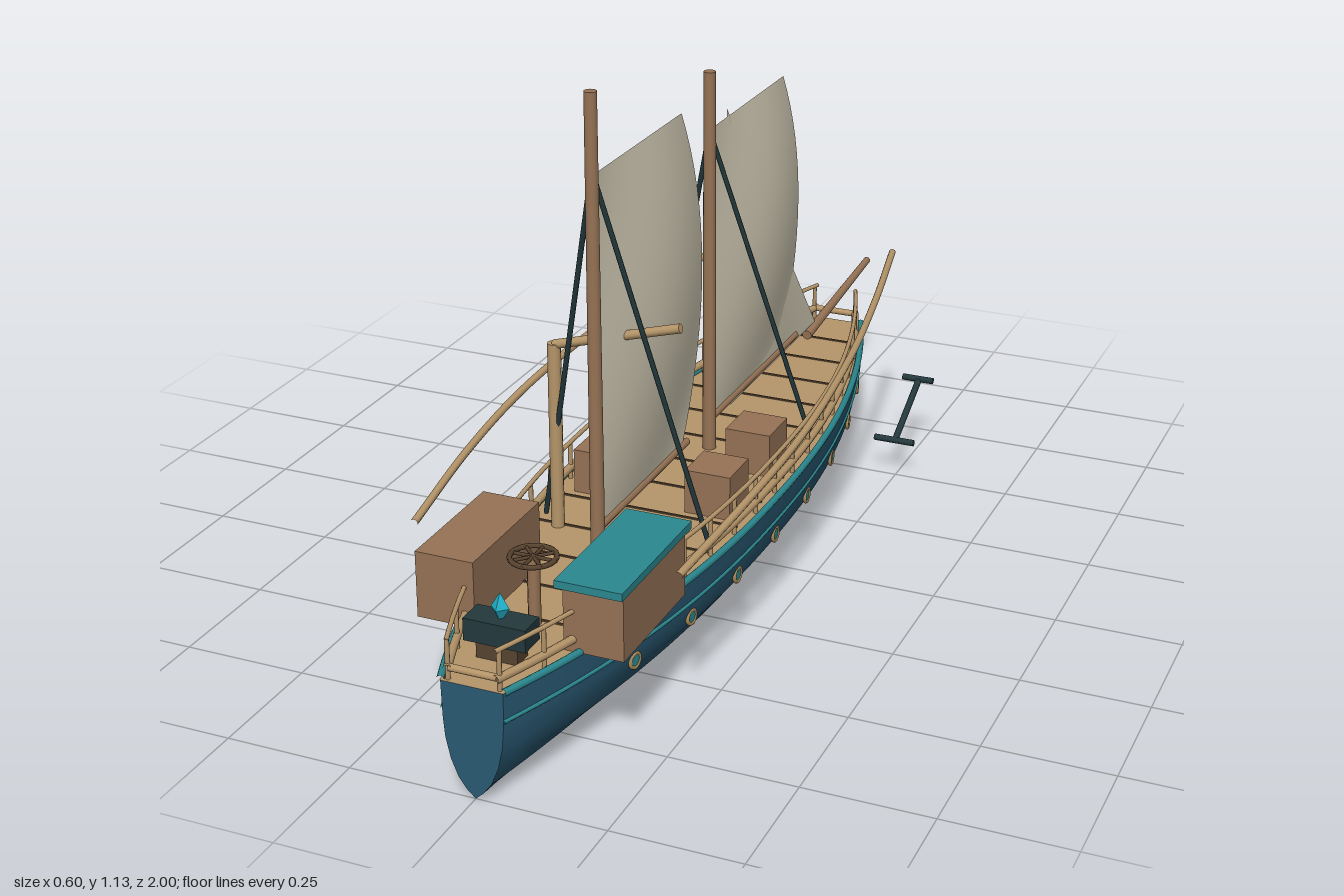
import * as THREE from 'three';

const mat = (name, color, double) => {
  const m = new THREE.MeshStandardMaterial({ color });
  m.name = name;
  if (double) m.side = THREE.DoubleSide;
  return m;
};
const V = (x, y, z) => new THREE.Vector3(x, y, z);

// Half width of the hull at deck level
const MID = 0.105, HALF = 0.895, DECK = 0.222;
const halfWidth = (z) => 0.06 + 0.153 * (1 - Math.pow(Math.min(1, Math.abs((z - MID) / HALF)), 2.25));
// Half section: share of the half width, height
const SECTION = [[1, 0.222], [0.985, 0.19], [0.965, 0.15], [0.91, 0.112], [0.76, 0.072], [0.53, 0.038], [0.26, 0.016], [0, 0.002]];
const PROFILE = [...SECTION, ...SECTION.slice(0, -1).reverse().map(([x, y]) => [-x, y])];

export function createModel() {
  const hullBlue = mat('hullBlue', 0x2a5a74);
  const teal = mat('teal', 0x2b8890);
  const tan = mat('tanWood', 0xb6966a);
  const brown = mat('brownWood', 0x967355);
  const darkWood = mat('darkWood', 0x57432f);
  const canvas = mat('canvas', 0xd6cfb8, true);
  const iron = mat('darkIron', 0x24393d);
  const cyan = mat('cyanCrystal', 0x22b0c8);
  const brass = mat('brass', 0xa98a58);

  const root = new THREE.Group();
  root.name = 'sailingShip';
  const add = (name, geo, material, x = 0, y = 0, z = 0) => {
    const m = new THREE.Mesh(geo, material);
    m.name = name;
    m.position.set(x, y, z);
    root.add(m);
    return m;
  };
  const box = (name, material, x0, x1, y0, y1, z0, z1) =>
    add(name, new THREE.BoxGeometry(x1 - x0, y1 - y0, z1 - z0), material, (x0 + x1) / 2, (y0 + y1) / 2, (z0 + z1) / 2);
  const rod = (name, material, a, b, r, r2 = r, sides = 10) => {
    const m = add(name, new THREE.CylinderGeometry(r2, r, a.distanceTo(b), sides), material);
    m.position.copy(a).lerp(b, 0.5);
    m.quaternion.setFromUnitVectors(V(0, 1, 0), b.clone().sub(a).normalize());
    return m;
  };
  const tube = (name, material, pts, r, n = 48) =>
    add(name, new THREE.TubeGeometry(new THREE.CatmullRomCurve3(pts), n, r, 8), material);
  const zAt = (t) => MID - HALF + 2 * HALF * t;

  // Hull skin lofted along z
  const N = 40, P = PROFILE.length, pos = [], idx = [];
  for (let i = 0; i <= N; i++) {
    const z = zAt(i / N), w = halfWidth(z);
    for (const [x, y] of PROFILE) pos.push(x * w, y, z);
  }
  for (let i = 0; i < N; i++) for (let j = 0; j < P - 1; j++) {
    const a = i * P + j, b = a + P;
    idx.push(a, b, a + 1, b, b + 1, a + 1);
  }
  const skin = new THREE.BufferGeometry();
  skin.setAttribute('position', new THREE.Float32BufferAttribute(pos, 3));
  skin.setIndex(idx);
  skin.computeVertexNormals();
  add('hull', skin, hullBlue);

  // Flat hull ends
  const endShape = new THREE.Shape(PROFILE.map(([x, y]) => new THREE.Vector2(x * 0.06, y)));
  add('hullEndFront', new THREE.ShapeGeometry(endShape), hullBlue, 0, 0, MID + HALF);
  add('hullEndBack', new THREE.ShapeGeometry(endShape), hullBlue, 0, 0, MID - HALF).rotation.y = Math.PI;

  // Deck and plank seams
  const edge = [];
  for (let i = 0; i <= N; i++) edge.push(new THREE.Vector2(halfWidth(zAt(i / N)), -zAt(i / N)));
  for (let i = N; i >= 0; i--) edge.push(new THREE.Vector2(-halfWidth(zAt(i / N)), -zAt(i / N)));
  add('deck', new THREE.ShapeGeometry(new THREE.Shape(edge)), tan, 0, DECK, 0).rotation.x = -Math.PI / 2;
  for (let i = 0; i < 13; i++) {
    const z = -0.668 + i * 0.118, w = halfWidth(z) - 0.02;
    box('deckSeam', darkWood, -w, w, DECK, DECK + 0.003, z - 0.002, z + 0.002);
  }

  for (const s of [1, -1]) {
    // Line that follows the side of the hull
    const along = (y, offset, k = 1) => {
      const pts = [];
      for (let i = 0; i <= 24; i++) {
        const z = zAt(i / 24);
        pts.push(V(s * (halfWidth(z) * k + offset), y, z));
      }
      return pts;
    };
    tube('gunwale', teal, along(0.224, 0), 0.007);
    tube('sideStrip', teal, along(0.167, 0, 0.973), 0.004);
    tube('lowerRail', tan, along(0.246, -0.014), 0.008);
    tube('upperRail', tan, along(0.3, -0.014), 0.0045);
    for (let i = 0; i <= 18; i++) {
      const z = zAt(0.005 + 0.99 * i / 18), x = s * (halfWidth(z) - 0.014);
      rod('railPost', tan, V(x, DECK, z), V(x, 0.3, z), 0.0045, 0.0045, 6);
    }

    // Portholes
    for (let i = 0; i < 8; i++) {
      const z = 0.668 - i * 0.187, x = s * (halfWidth(z) * 0.94 + 0.002);
      const turn = Math.PI / 2 * s - s * Math.atan((halfWidth(z - 0.02) - halfWidth(z + 0.02)) / 0.04);
      add('portholeRing', new THREE.TorusGeometry(0.014, 0.004, 8, 20), brass, x, 0.132, z).rotation.y = turn;
      add('portholeGlass', new THREE.CircleGeometry(0.013, 20), teal, x + s * 0.002, 0.132, z).rotation.y = turn;
    }

    // Long curved side pole
    tube('sidePole', tan, [V(s * 0.26, 0.35, 0.72), V(s * 0.284, 0.382, 0.46), V(s * 0.292, 0.405, 0.2),
      V(s * 0.268, 0.427, -0.12), V(s * 0.225, 0.443, -0.4), V(s * 0.173, 0.456, -0.665)], 0.0075);

    // Anchor
    rod('anchorShaft', iron, V(s * 0.245, 0.165, -0.665), V(s * 0.245, 0.082, -0.505), 0.007);
    rod('anchorStock', iron, V(s * 0.208, 0.165, -0.662), V(s * 0.278, 0.165, -0.662), 0.007);
    rod('anchorFluke', iron, V(s * 0.198, 0.082, -0.505), V(s * 0.288, 0.082, -0.505), 0.007);

    // Shrouds
    rod('mainShroud', iron, V(0, 0.985, 0.497), V(s * 0.17, 0.228, 0.37), 0.005, 0.005, 6);
    rod('foreShroud', iron, V(0, 0.9, -0.037), V(s * 0.17, 0.228, -0.165), 0.005, 0.005, 6);

    // Hatches
    for (const z of [0, 0.207]) {
      const a = s * 0.118;
      box('hatch', brown, a - 0.047, a + 0.047, DECK, 0.312, z - 0.048, z + 0.048);
    }
  }
  // Rails across both ends
  for (const z of [0.992, -0.783]) rod('endRail', tan, V(-0.046, 0.246, z), V(0.046, 0.246, z), 0.007);

  // Masts, booms and bowsprit
  rod('mainMast', brown, V(0, DECK, 0.497), V(0, 1.13, 0.497), 0.014, 0.012, 14);
  rod('foreMast', brown, V(0, DECK, -0.037), V(0, 1.02, -0.037), 0.014, 0.012, 14);
  rod('mainBoom', brown, V(0, 0.285, 0.497), V(0, 0.285, 0.08), 0.008);
  rod('foreBoom', brown, V(0, 0.285, -0.037), V(0, 0.285, -0.525), 0.008);
  rod('bowsprit', brown, V(0, 0.255, -0.6), V(0, 0.295, -1), 0.011, 0.008);

  // Sails as bulging grids
  const sheet = (name, n, f) => {
    const g = new THREE.PlaneGeometry(1, 1, n, n), p = g.attributes.position;
    for (let i = 0; i < p.count; i++) p.setXYZ(i, ...f(p.getX(i) + 0.5, p.getY(i) + 0.5));
    g.computeVertexNormals();
    add(name, g, canvas);
  };
  const belly = (u, v) => Math.sin(Math.PI * u) * Math.sin(Math.PI * v);
  const squareSail = (name, luff, leech, top) => sheet(name, 16, (u, v) => {
    const end = leech - 0.1 * 4 * v * (1 - v);
    return [0.036 * belly(u, v), 0.288 + (top - 0.288) * v, luff + (end - luff) * u];
  });
  squareSail('mainSail', 0.487, 0.1, 0.975);
  squareSail('foreSail', -0.047, -0.433, 0.902);
  sheet('jib', 14, (u, v) => {
    const t = 1 - v, foot = -0.15 - 0.5 * u;
    return [0.012 * belly(u, v), 0.92 - 0.65 * t, -0.125 + (foot + 0.125) * t];
  });

  // Loading crane
  rod('cranePost', tan, V(-0.13, DECK, 0.4), V(-0.13, 0.6, 0.4), 0.013, 0.013, 12);
  rod('craneArm', tan, V(-0.13, 0.597, 0.4), V(0.127, 0.67, 0.4), 0.009);

  // Deckhouse with roof, and the plain cabin opposite
  box('deckhouse', brown, 0.088, 0.203, DECK, 0.352, 0.56, 0.825);
  box('deckhouseRoof', teal, 0.08, 0.209, 0.349, 0.364, 0.543, 0.842);
  add('deckhouseRing', new THREE.TorusGeometry(0.028, 0.005, 8, 20), iron, 0.14, 0.3, 0.535);
  box('cabin', brown, -0.203, -0.088, DECK, 0.352, 0.56, 0.82);

  // Flat steering wheel on its column
  rod('wheelColumn', brown, V(0, DECK, 0.76), V(0, 0.355, 0.76), 0.012);
  add('wheelRim', new THREE.TorusGeometry(0.042, 0.005, 8, 24), darkWood, 0, 0.354, 0.76).rotation.x = Math.PI / 2;
  for (let i = 0; i < 4; i++) {
    const c = 0.046 * Math.cos(i * Math.PI / 4), d = 0.046 * Math.sin(i * Math.PI / 4);
    rod('wheelSpoke', darkWood, V(-c, 0.354, 0.76 - d), V(c, 0.354, 0.76 + d), 0.0035, 0.0035, 6);
  }

  // Chest with crystal
  box('chest', iron, -0.06, 0.06, 0.255, 0.298, 0.86, 0.915);
  box('chestFoot', darkWood, -0.04, 0.04, DECK, 0.255, 0.868, 0.907);
  const crystalGeo = new THREE.OctahedronGeometry(0.018).toNonIndexed();
  crystalGeo.computeVertexNormals();
  add('crystal', crystalGeo, cyan, 0, 0.318, 0.888).scale.y = 1.6;

  return root;
}
